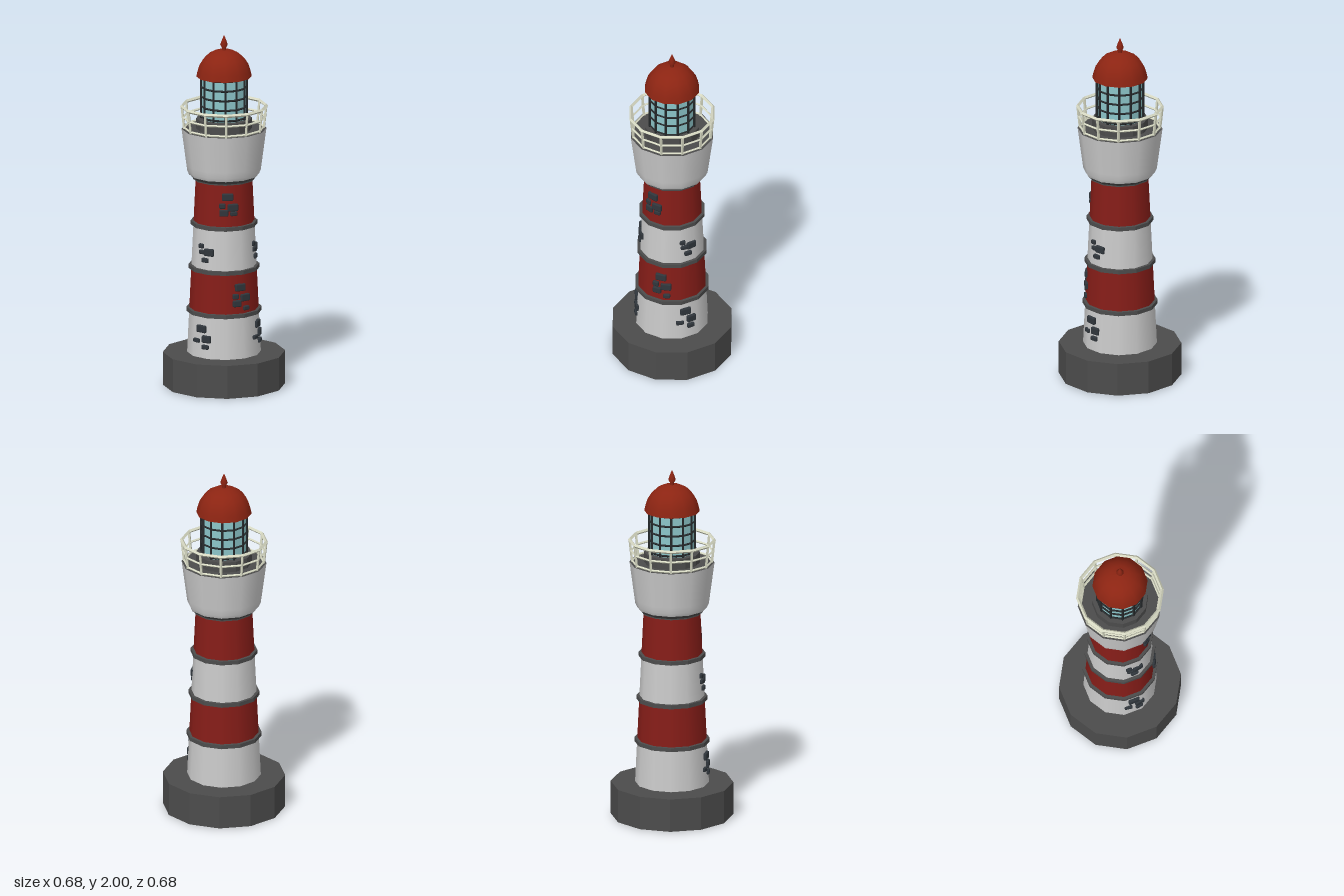
import * as THREE from 'three';
import { RoundedBoxGeometry } from 'three/addons/geometries/RoundedBoxGeometry.js';

const SIDES = 12;
const mat = (color, extra = {}) => new THREE.MeshStandardMaterial({ color, ...extra });
const white = mat(0xd8d8d8);
const red = mat(0x861d18);
const roofRed = mat(0x8c2412, { side: THREE.DoubleSide });
const dark = mat(0x4c4c4c, { flatShading: true });
const slate = mat(0x30363c);
const cream = mat(0xd6d8c2, { flatShading: true });
const frame = mat(0x25292b, { flatShading: true });
const glass = mat(0x8cc6ca, { flatShading: true });

// Tower radius at a given height
const towerRadius = y => 0.205 - (y - 0.19) * 0.048;
const polar = (r, a, y) => new THREE.Vector3(Math.sin(a) * r, y, Math.cos(a) * r);

function add(parent, name, geometry, material) {
  const mesh = new THREE.Mesh(geometry, material);
  mesh.name = name;
  parent.add(mesh);
  return mesh;
}

// Upright drum between two heights
function drum(parent, name, y0, y1, r0, r1, material, open = false) {
  const mesh = add(parent, name, new THREE.CylinderGeometry(r1, r0, y1 - y0, SIDES, 1, open), material);
  mesh.position.y = (y0 + y1) / 2;
  return mesh;
}

// Horizontal twelve-sided hoop
function hoop(parent, name, r, y, tube, material) {
  const mesh = add(parent, name, new THREE.TorusGeometry(r, tube, 4, SIDES), material);
  mesh.rotation.x = Math.PI / 2;
  mesh.position.y = y;
}

// Straight bar from a to b
function bar(parent, name, a, b, r, material) {
  const mesh = add(parent, name, new THREE.CylinderGeometry(r, r, a.distanceTo(b), 4), material);
  mesh.position.lerpVectors(a, b, 0.5);
  mesh.quaternion.setFromUnitVectors(new THREE.Vector3(0, 1, 0), b.clone().sub(a).normalize());
}

function lathe(parent, name, points, material) {
  return add(parent, name, new THREE.LatheGeometry(points.map(p => new THREE.Vector2(...p)), SIDES), material);
}

// Exposed stones: [sideways offset, height offset, width, height] around a centre
function stonePatch(parent, degrees, y, stones) {
  const patch = new THREE.Group();
  patch.name = 'exposedStones';
  for (const [dx, dy, w, h] of stones) {
    const r = towerRadius(y + dy);
    const a = THREE.MathUtils.degToRad(degrees) + dx / r;
    const stone = add(patch, 'stone', new RoundedBoxGeometry(w, h, 0.022, 1, 0.007), slate);
    stone.position.copy(polar(r - 0.002, a, y + dy));
    stone.rotation.y = a;
  }
  parent.add(patch);
}

export function createModel() {
  const model = new THREE.Group();
  model.name = 'lighthouse';

  // Base with a red underside
  drum(model, 'base', 0.002, 0.19, 0.34, 0.34, dark);
  const underside = add(model, 'baseUnderside', new THREE.CircleGeometry(0.34, SIDES), red);
  underside.rotation.x = Math.PI / 2;

  // Striped tower with dark bands
  const levels = [0.19, 0.435, 0.68, 0.93, 1.19];
  for (let i = 0; i < 4; i++) {
    const y0 = levels[i], y1 = levels[i + 1];
    drum(model, 'towerStripe', y0, y1, towerRadius(y0), towerRadius(y1), i % 2 ? red : white, true);
    const r = towerRadius(y1) + 0.016;
    drum(model, 'towerBand', y1 - 0.011, y1 + 0.011, r, r, dark);
  }

  // Stone patches
  const tall = [[0, 0.05, 0.064, 0.042], [-0.03, 0, 0.036, 0.03], [0.03, -0.01, 0.06, 0.042],
    [-0.022, -0.04, 0.05, 0.038], [0.035, -0.07, 0.04, 0.026]];
  const low = [[-0.01, 0.06, 0.064, 0.042], [0.025, 0.005, 0.055, 0.042],
    [-0.045, -0.01, 0.045, 0.024], [0.02, -0.04, 0.045, 0.026]];
  const small = [[-0.03, 0.035, 0.034, 0.026], [0.025, 0.005, 0.06, 0.042],
    [-0.022, 0.002, 0.04, 0.024], [0.002, -0.042, 0.045, 0.026]];
  stonePatch(model, -4, 0.545, tall);
  stonePatch(model, -26, 1.06, tall.slice(0, 4).concat([[0.035, -0.045, 0.04, 0.026]]));
  stonePatch(model, 41, 0.305, low);
  stonePatch(model, 45, 0.787, small);
  stonePatch(model, -70, 0.295, low);
  stonePatch(model, -70, 0.787, small);

  // Gallery bowl and deck
  drum(model, 'galleryFlare', 1.185, 1.205, 0.172, 0.195, dark, true);
  lathe(model, 'galleryBowl', [[0.195, 1.205], [0.204, 1.225], [0.209, 1.26], [0.236, 1.465]], white);
  drum(model, 'galleryDeck', 1.45, 1.465, 0.234, 0.236, dark);

  // Railing leaning outwards
  const railing = new THREE.Group();
  railing.name = 'railing';
  model.add(railing);
  hoop(railing, 'lowerRail', 0.221, 1.472, 0.007, cream);
  hoop(railing, 'middleRail', 0.227, 1.53, 0.007, cream);
  hoop(railing, 'topRail', 0.235, 1.592, 0.01, cream);

  // Lantern room
  const lantern = new THREE.Group();
  lantern.name = 'lantern';
  model.add(lantern);
  drum(lantern, 'lanternBase', 1.465, 1.525, 0.155, 0.155, dark);
  drum(lantern, 'lanternGlass', 1.525, 1.78, 0.122, 0.122, glass);
  for (const y of [1.535, 1.595, 1.65, 1.705, 1.76]) hoop(lantern, 'glazingHoop', 0.127, y, 0.006, frame);

  // Posts and glazing bars at each corner
  for (let i = 0; i < SIDES; i++) {
    const a = (i / SIDES) * Math.PI * 2;
    bar(railing, 'railPost', polar(0.221, a, 1.462), polar(0.235, a, 1.592), 0.008, cream);
    bar(lantern, 'glazingBar', polar(0.128, a, 1.52), polar(0.128, a, 1.78), 0.007, frame);
  }

  // Domed roof with a finial
  lathe(model, 'roofDome', [[0.154, 1.763], [0.147, 1.795], [0.136, 1.83], [0.116, 1.862],
    [0.088, 1.889], [0.052, 1.908], [0, 1.915]], roofRed);
  const ceiling = add(model, 'roofUnderside', new THREE.RingGeometry(0.12, 0.15, SIDES, 1), roofRed);
  ceiling.rotation.x = Math.PI / 2;
  ceiling.position.y = 1.775;
  lathe(model, 'finial', [[0.013, 1.905], [0.011, 1.925], [0.021, 1.943], [0.012, 1.97], [0, 2]], roofRed);

  return model;
}
